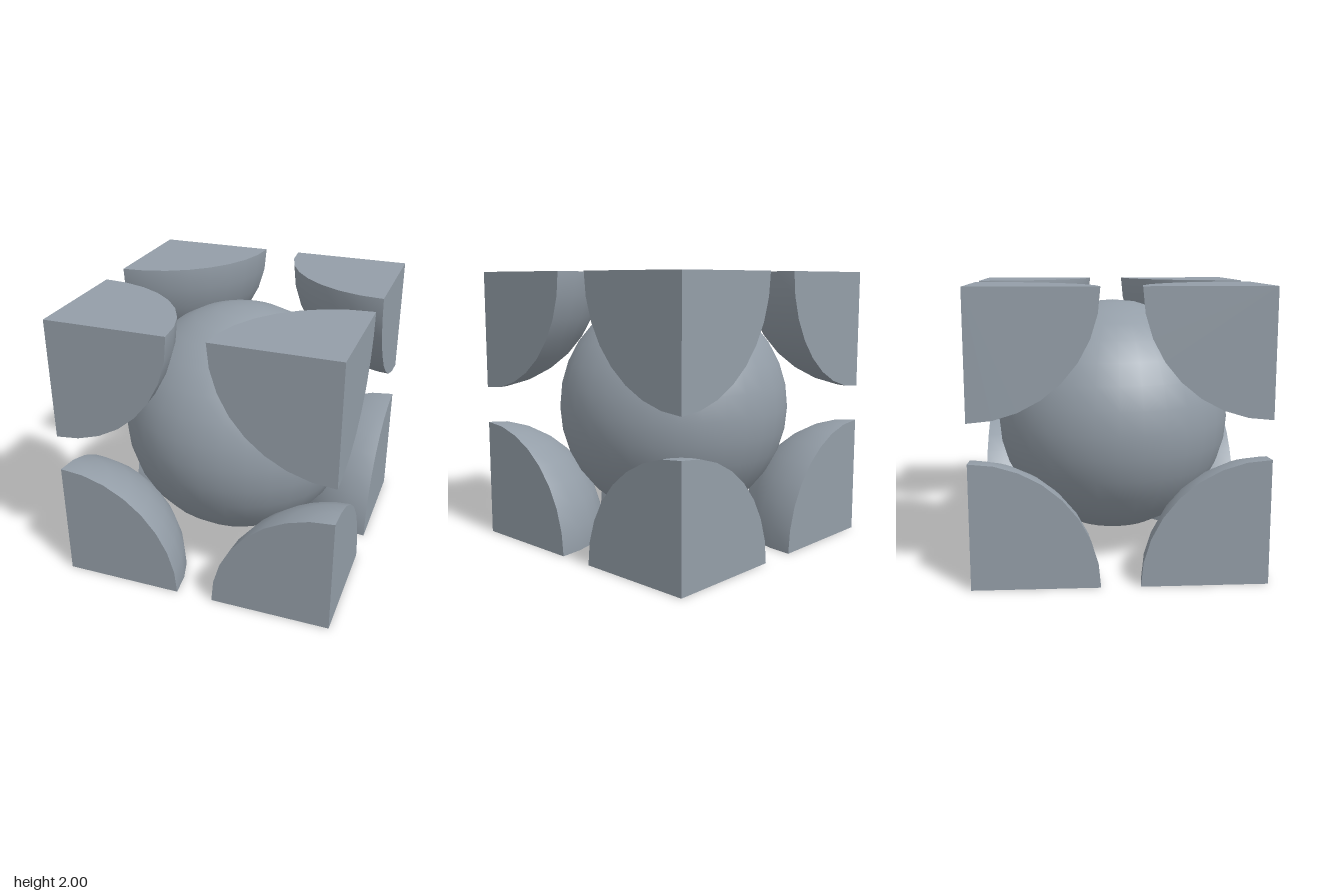
import * as THREE from 'three';
import { mergeGeometries } from 'three/addons/utils/BufferGeometryUtils.js';

const RADIUS = Math.sqrt(3) / 2; // spheres touch along the cube's diagonals
const QUARTER = Math.PI / 2;

// One eighth of a ball filling +x +y +z, closed by three flat quarter discs
function octantGeometry() {
  const disc = (start) => new THREE.CircleGeometry(RADIUS, 8, start, QUARTER);
  return mergeGeometries([
    new THREE.SphereGeometry(RADIUS, 8, 8, QUARTER, QUARTER, 0, QUARTER),
    disc(QUARTER).rotateY(Math.PI), // faces -z
    disc(0).rotateY(-QUARTER), // faces -x
    disc(0).rotateX(QUARTER), // faces -y
  ]);
}

export function createModel() {
  const model = new THREE.Group();
  model.name = 'bodyCentredCubicCell';
  const material = new THREE.MeshStandardMaterial({ color: 0x949ea8 }); // blue-grey

  // Whole ball in the middle of the cell
  const centre = new THREE.Mesh(new THREE.SphereGeometry(RADIUS, 32, 16), material);
  centre.name = 'centreSphere';
  centre.position.y = 1;
  model.add(centre);

  // Eight corner octants, each turned to point at the centre
  const octant = octantGeometry();
  for (const [level, flip] of [['bottom', 0], ['top', Math.PI]]) {
    for (let i = 0; i < 4; i++) {
      const corner = new THREE.Mesh(octant, material);
      corner.name = `${level}CornerOctant${i + 1}`;
      corner.rotation.set(flip, i * QUARTER, 0);
      const inward = new THREE.Vector3(1, 1, 1).applyEuler(corner.rotation);
      corner.position.set(-inward.x, 1 - inward.y, -inward.z);
      model.add(corner);
    }
  }
  return model;
}
